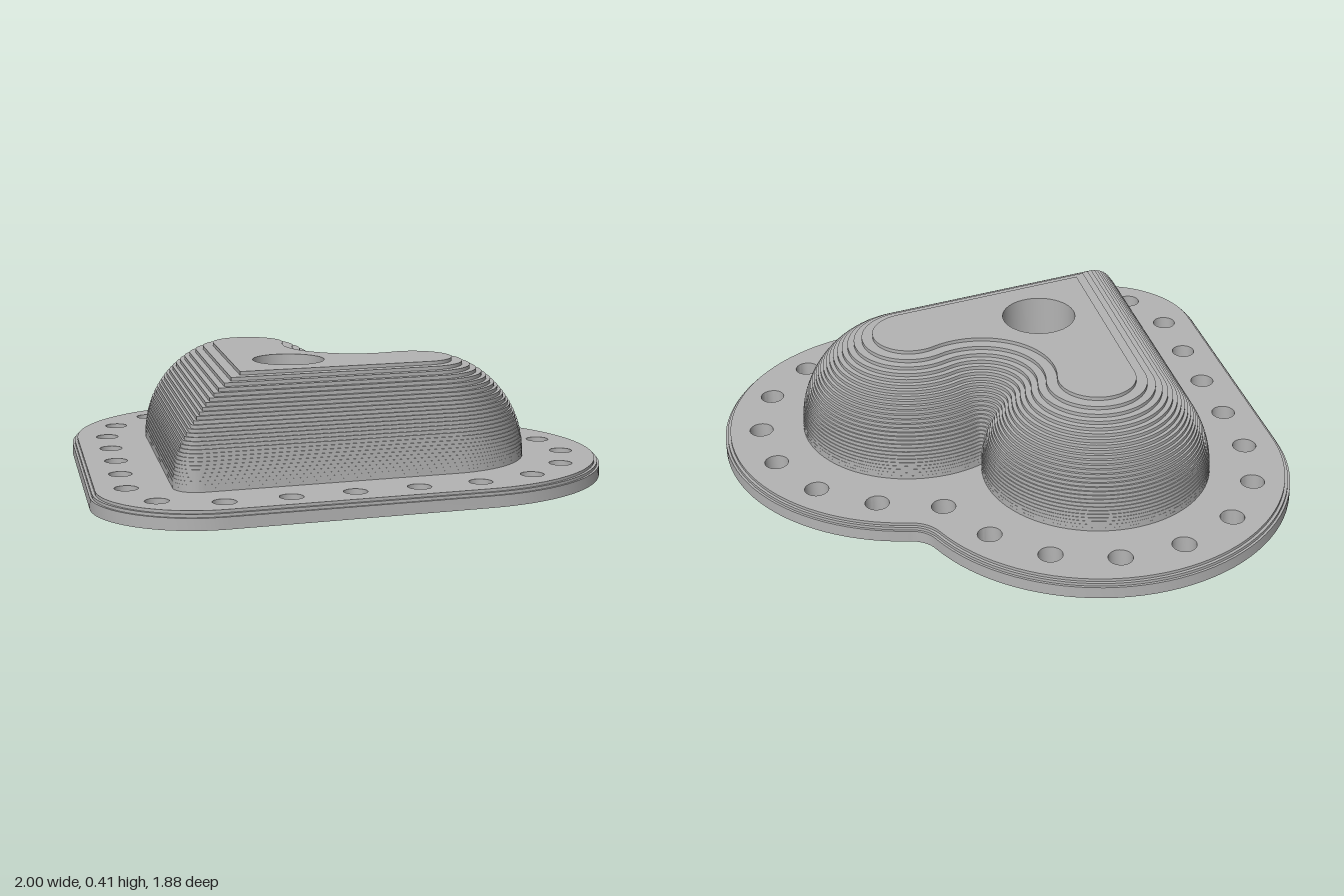
import * as THREE from 'three';
import { toCreasedNormals } from 'three/addons/utils/BufferGeometryUtils.js';

const LOBE = { x: 0.347, z: -0.29 };        // centre of the right lobe
const DOME_R = 0.383, TIP_R = 0.08, TIP_Z = 0.585;
const FLANGE = 0.27, FILLET = 0.1;          // flange width, notch fillet
const BASE_TOP = 0.06, TOP = 0.405, LAYERS = 28;
const BORE_R = 0.125, BOLT_R = 0.04;
const BOLTS = [
  [0, -0.725], [0.205, -0.8], [0.425, -0.815], [0.63, -0.735], [0.785, -0.585],
  [0.87, -0.38], [0.86, -0.16], [0.76, 0.035], [0.62, 0.205], [0.475, 0.375],
  [0.335, 0.545], [0.19, 0.715], [0, 0.815],
].flatMap(([x, z]) => (x ? [[x, z], [-x, z]] : [[x, z]]));

// Points [x, z] along an arc
function arc(cx, cz, r, from, to, steps) {
  return Array.from({ length: steps + 1 }, (_, i) => {
    const a = from + (to - from) * i / steps;
    return [cx + r * Math.cos(a), cz + r * Math.sin(a)];
  });
}

const circle = (x, z, r, steps) => arc(x, z, r, 0, Math.PI * 2, steps).slice(0, -1);

// Heart outline: notch arc, lobe, straight flank and tip, mirrored in x
function heart(inset, notchR) {
  const r = DOME_R - inset, tip = TIP_R - inset;
  const rise = Math.sqrt((r + notchR) ** 2 - LOBE.x ** 2);
  const toLobe = Math.atan2(rise, LOBE.x);
  const dx = LOBE.x, dz = LOBE.z - TIP_Z;
  const flank = Math.atan2(dz, dx) + Math.acos((TIP_R - DOME_R) / Math.hypot(dx, dz));
  const half = [
    ...arc(0, LOBE.z - rise, notchR, Math.PI / 2, toLobe, 12),
    ...arc(LOBE.x, LOBE.z, r, toLobe - Math.PI, flank, 44),
    ...(tip > 0
      ? arc(0, TIP_Z, tip, flank, Math.PI / 2, 12)
      : Array(13).fill([0, TIP_Z + tip / Math.sin(flank)])),
  ];
  const mirrored = half.slice(1, -1).reverse().map(([x, z]) => [-x, z]);
  return [...half, ...mirrored];
}

// Skin stretched over a stack of rings { points, y } with equal point counts
function loft(rings) {
  const n = rings[0].points.length;
  const pos = rings.flatMap(({ points, y }) => points.flatMap(([x, z]) => [x, y, z]));
  const index = [];
  for (let k = 0; k < rings.length - 1; k++) {
    for (let i = 0; i < n; i++) {
      const a = k * n + i, b = k * n + (i + 1) % n;
      index.push(a, a + n, b + n, a, b + n, b);
    }
  }
  const g = new THREE.BufferGeometry();
  g.setAttribute('position', new THREE.Float32BufferAttribute(pos, 3));
  g.setIndex(index);
  return toCreasedNormals(g, 0.5);
}

// Flat horizontal face with holes, facing up or down
function plate(outline, holes, y, up) {
  const s = up ? -1 : 1;
  const vec = (pts) => pts.map(([x, z]) => new THREE.Vector2(x, s * z))
    .filter((p, i, all) => i === 0 || p.distanceTo(all[i - 1]) > 1e-6);
  const shape = new THREE.Shape(vec(outline));
  shape.holes = holes.map((h) => new THREE.Path(vec(h)));
  return new THREE.ShapeGeometry(shape).rotateX(s * Math.PI / 2).translate(0, y, 0);
}

export function createModel() {
  const model = new THREE.Group();
  model.name = 'heartMould';
  const grey = new THREE.MeshStandardMaterial({ color: 0xb4b4b4 });
  grey.name = 'grey';

  const add = (name, geometry) => {
    const mesh = new THREE.Mesh(geometry, grey);
    mesh.name = name;
    model.add(mesh);
  };
  const hole = (points, y0, y1) => {
    const ring = [...points].reverse();
    return loft([{ points: ring, y: y0 }, { points: ring, y: y1 }]);
  };

  const bore = circle(0, 0, BORE_R, 48);
  const bolts = BOLTS.map(([x, z]) => circle(x, z, BOLT_R, 24));

  // Flange edge with small steps at its upper rim
  const edge = [];
  let y = 0;
  for (const [inset, top] of [[0, 0.04], [0.008, 0.05], [0.018, BASE_TOP]]) {
    const points = heart(inset - FLANGE, FILLET + inset);
    edge.push({ points, y }, { points, y: top });
    y = top;
  }
  add('flangeEdge', loft(edge));
  add('flangeBottom', plate(edge[0].points, [bore, ...bolts], 0, false));
  add('flangeTop', plate(edge[edge.length - 1].points, [heart(0, 0), ...bolts], BASE_TOP, true));
  bolts.forEach((b, i) => add('boltHole' + (i + 1), hole(b, 0, BASE_TOP)));

  // Dome in thin terraces whose inset follows a quarter circle
  const height = TOP - BASE_TOP, terraces = [];
  for (let i = 0; i < LAYERS; i++) {
    const inset = height * (1 - Math.sqrt(1 - (i / LAYERS) ** 2));
    const points = heart(inset, inset);
    terraces.push(
      { points, y: BASE_TOP + height * i / LAYERS },
      { points, y: BASE_TOP + height * (i + 1) / LAYERS },
    );
  }
  add('domeTerraces', loft(terraces));
  add('domeTop', plate(terraces[terraces.length - 1].points, [bore], TOP, true));
  add('centreBore', hole(bore, 0, TOP));

  return model;
}
